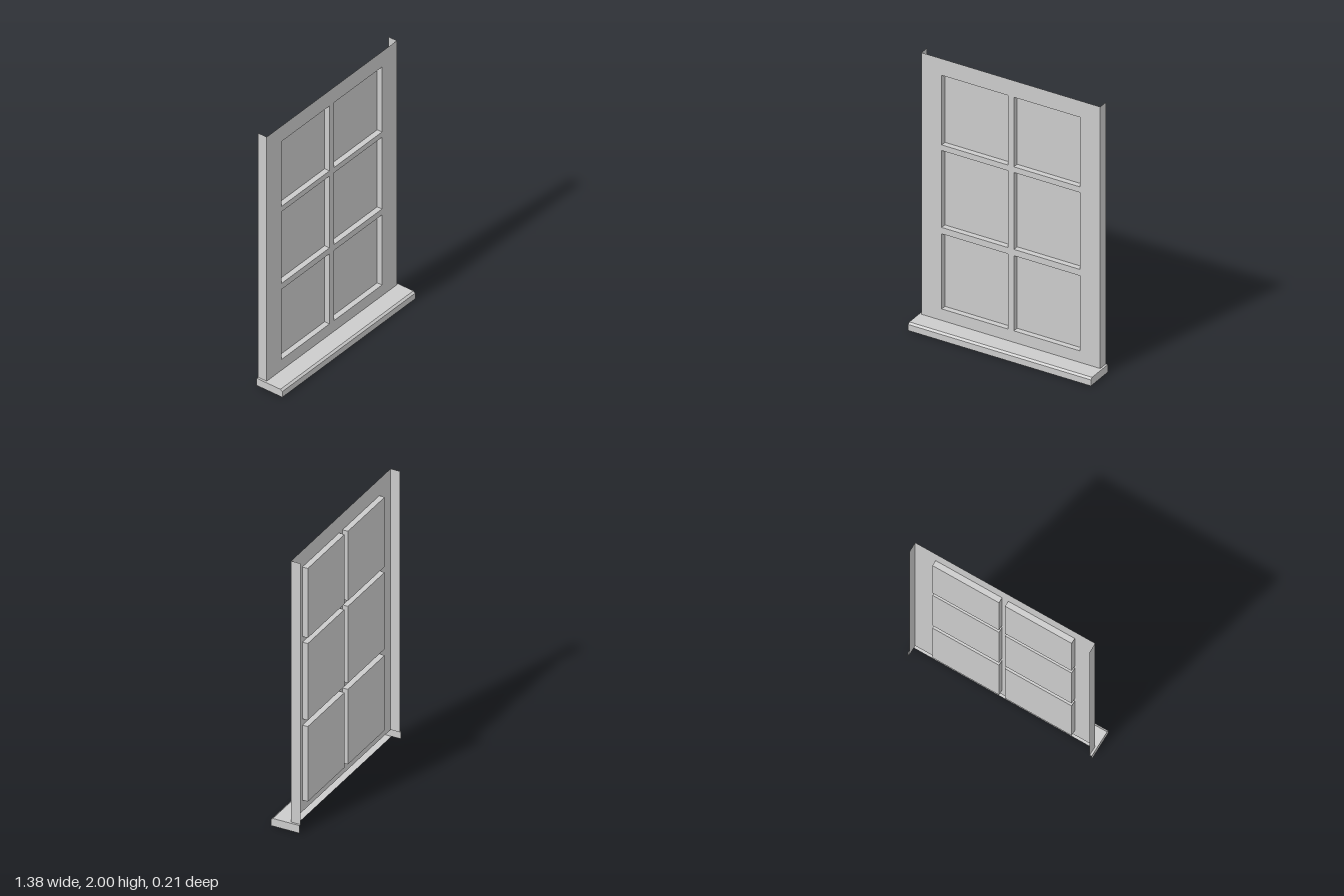
import * as THREE from 'three';

const material = new THREE.MeshStandardMaterial({ color: 0xcccccc, flatShading: true, side: THREE.DoubleSide });

const HALF = 0.675, SILL_HALF = 0.69;       // half widths of the casing and the sill
const SILL_TOP = 0.057, TOP = 2;
const FACE_Z = -0.035, PANE_Z = -0.075, BACK_Z = -0.105, FRONT_Z = 0.105;

function add(parent, name, geometry) {
  const mesh = new THREE.Mesh(geometry, material);
  mesh.name = name;
  parent.add(mesh);
  return mesh;
}

// Strip of flat quads joining two matching rows of [x, y, z] points
function strip(rowA, rowB) {
  const pos = [];
  for (let i = 0; i < rowA.length - 1; i++) {
    const [a, b, c, d] = [rowA[i], rowA[i + 1], rowB[i + 1], rowB[i]];
    pos.push(...a, ...b, ...c, ...a, ...c, ...d);
  }
  const g = new THREE.BufferGeometry();
  g.setAttribute('position', new THREE.Float32BufferAttribute(pos, 3));
  g.computeVertexNormals();
  return g;
}

const rect = (x0, y0, x1, y1) => [[x0, y0], [x1, y0], [x1, y1], [x0, y1]];
const toPoints = (pts) => pts.map(([x, y]) => new THREE.Vector2(x, y));

export function createModel() {
  const model = new THREE.Group();
  model.name = 'window';

  // Openings: two columns by three rows
  const columns = [[-0.522, -0.023], [0.023, 0.522]];
  const rows = [[0.142, 0.7], [0.747, 1.318], [1.36, 1.877]];
  const openings = [];
  for (const [x0, x1] of columns) for (const [y0, y1] of rows) openings.push(rect(x0, y0, x1, y1));

  // Front sheet of the frame, with the openings cut out
  const face = new THREE.Shape(toPoints(rect(-HALF, SILL_TOP, HALF, TOP)));
  for (const o of openings) face.holes.push(new THREE.Path(toPoints(o).reverse()));
  add(model, 'frame', new THREE.ShapeGeometry(face)).position.z = FACE_Z;

  // Recessed panes and the reveals around them
  for (const o of openings) {
    const pane = new THREE.ShapeGeometry(new THREE.Shape(toPoints(o)));
    add(model, 'pane', pane).position.z = PANE_Z;
    const loop = [...o, o[0]];
    add(model, 'reveal', strip(
      loop.map(([x, y]) => [x, y, PANE_Z]),
      loop.map(([x, y]) => [x, y, FACE_Z])));
  }

  // Side returns running back from the frame
  for (const s of [-1, 1]) {
    add(model, 'sideReturn', strip(
      [[s * HALF, SILL_TOP, FACE_Z], [s * HALF, TOP, FACE_Z]],
      [[s * HALF, SILL_TOP, BACK_Z], [s * HALF, TOP, BACK_Z]]));
  }

  // Sill: open-backed shell with a chamfered nose, as [z, y]
  const sill = new THREE.Group();
  sill.name = 'sill';
  model.add(sill);
  const nose = [[FRONT_Z, 0], [FRONT_Z, 0.045], [0.09, SILL_TOP]];
  const profile = [[FACE_Z, 0], ...nose, [FACE_Z, SILL_TOP]];
  add(sill, 'sillShell', strip(
    profile.map(([z, y]) => [-SILL_HALF, y, z]),
    profile.map(([z, y]) => [SILL_HALF, y, z])));

  // Sill ends and the narrow ears beside the frame
  const endShape = new THREE.Shape(toPoints([[BACK_Z, 0], ...nose, [BACK_Z, SILL_TOP]]));
  for (const s of [-1, 1]) {
    const end = add(sill, 'sillEnd', new THREE.ShapeGeometry(endShape));
    end.rotation.y = -Math.PI / 2;
    end.position.x = s * SILL_HALF;
    add(sill, 'sillEar', strip(
      [[s * HALF, SILL_TOP, FACE_Z], [s * SILL_HALF, SILL_TOP, FACE_Z]],
      [[s * HALF, SILL_TOP, BACK_Z], [s * SILL_HALF, SILL_TOP, BACK_Z]]));
  }

  return model;
}
